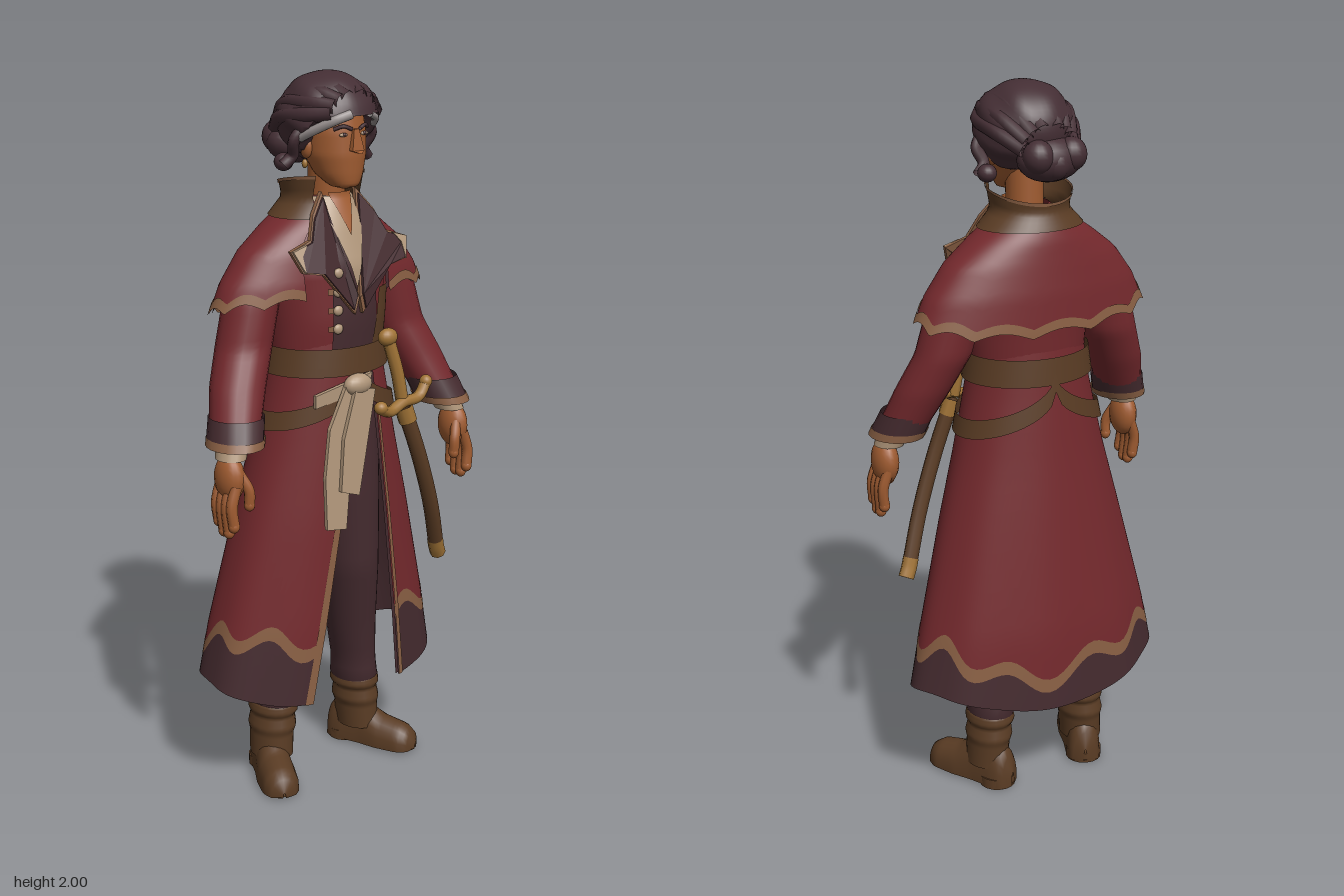
import * as THREE from 'three';

const mat = (name, color) => Object.assign(new THREE.MeshStandardMaterial({ color, side: THREE.DoubleSide }), { name });

export function createModel() {
  const red = mat('coat red', 0x74292d), trim = mat('tan trim', 0x8a6044), plum = mat('plum cloth', 0x452b2f);
  const leather = mat('brown leather', 0x5a3c24), skin = mat('skin', 0xa05c31), hair = mat('dark hair', 0x442e34);
  const cream = mat('cream linen', 0xb0967a), gold = mat('brass', 0xa07336), grey = mat('grey hair', 0x978f8e);

  const model = new THREE.Group();
  const body = new THREE.Group(); // modelled facing +z, turned at the end
  body.name = 'figure';
  const add = (name, geo, material) => {
    const m = new THREE.Mesh(geo, material);
    m.name = name;
    body.add(m);
    return m;
  };

  // Grid surface from a point rule p(s, t); wrap joins the s ends
  function grid(p, ns, nt, wrap = false) {
    const pos = [], idx = [], n = wrap ? ns : ns + 1;
    for (let j = 0; j <= nt; j++) for (let i = 0; i < n; i++) pos.push(...p(i / ns, j / nt));
    for (let j = 0; j < nt; j++) for (let i = 0; i < ns; i++) {
      const a = j * n + i, b = j * n + (i + 1) % n, c = a + n, d = b + n;
      idx.push(a, c, b, b, c, d);
    }
    const g = new THREE.BufferGeometry();
    g.setAttribute('position', new THREE.Float32BufferAttribute(pos, 3));
    g.setIndex(idx);
    g.computeVertexNormals();
    return g;
  }
  // Linear lookup in rows [key, ...values], keys falling
  function at(rows, k) {
    let i = 0;
    while (i < rows.length - 2 && k < rows[i + 1][0]) i++;
    const A = rows[i], B = rows[i + 1], t = THREE.MathUtils.clamp((A[0] - k) / (A[0] - B[0]), 0, 1);
    return A.map((v, n) => v + (B[n] - v) * t);
  }
  // Elliptical garment shell, rows [y, halfWidth, halfDepth, zCentre], open in front from uL to uR
  const shellPoint = (rows, uL, uR, off = 0, fold = 0) => (s, y) => {
    const [, a, b, c] = at(rows, y);
    const t0 = Math.asin(THREE.MathUtils.clamp(uR(y) / a, -1, 1));
    const t1 = Math.PI * 2 + Math.asin(THREE.MathUtils.clamp(uL(y) / a, -1, 1));
    const th = t0 + (t1 - t0) * s, r = 1 + fold * Math.sin(th * 9) * Math.max(0, 1.2 - y);
    return [(a * r + off) * Math.sin(th), y, c + (b * r + off) * Math.cos(th)];
  };
  const band = (name, m, pt, top, bot, s0 = 0, s1 = 1, ns = 96, nt = 16) =>
    add(name, grid((s, t) => {
      const q = s0 + (s1 - s0) * s, a = top(q), b = bot(q);
      return pt(q, a + (b - a) * t);
    }, ns, nt), m);
  // Closed loft of level ellipses, rows [y, rx, rz, cz, cx]
  const loft = (name, m, rows, side = 1, ns = 20) => add(name, grid((s, t) => {
    const y = rows[0][0] + (rows[rows.length - 1][0] - rows[0][0]) * t;
    const [, rx, rz, cz = 0, cx = 0] = at(rows, y);
    return [side * cx + rx * Math.sin(s * 2 * Math.PI), y, cz + rz * Math.cos(s * 2 * Math.PI)];
  }, ns, 28, true), m);
  const ball = (name, m, p, r) => {
    const b = add(name, new THREE.SphereGeometry(1, 18, 12), m);
    b.position.set(...p);
    b.scale.set(...r);
    return b;
  };
  const tube = (name, m, pts, r) => add(name, new THREE.TubeGeometry(
    new THREE.CatmullRomCurve3(pts.map(p => new THREE.Vector3(...p))), 16, r, 8), m);
  // Thin cloth piece cut from an outline and laid on z = rule(x, y)
  function cloth(name, m, pts, rule, grow = 1, thick = 0.012) {
    const cx = pts.reduce((s, p) => s + p[0], 0) / pts.length, cy = pts.reduce((s, p) => s + p[1], 0) / pts.length;
    const shape = new THREE.Shape(pts.map(p => new THREE.Vector2(cx + (p[0] - cx) * grow, cy + (p[1] - cy) * grow)));
    const g = new THREE.ExtrudeGeometry(shape, { depth: thick, bevelEnabled: false }), a = g.attributes.position;
    for (let i = 0; i < a.count; i++) a.setZ(i, a.getZ(i) + rule(a.getX(i), a.getY(i)));
    g.computeVertexNormals();
    return add(name, g, m);
  }
  const k = v => () => v;

  // Coat skirt with lining, wavy hem border and trimmed front edges
  const skirt = [[1.3, .162, .135, .01], [1.2, .177, .143, .01], [1, .222, .16, .005], [.8, .275, .178, -.003], [.5, .35, .202, -.018], [.29, .395, .207, -.023]];
  const open = y => (1.15 - y) / .85;
  const uL = y => Math.min(0, -.155 * open(y)), uR = y => .07 + .08 * open(y);
  const coat = off => shellPoint(skirt, uL, uR, off, .012);
  const hem = s => .285 + .065 * Math.sin(s * 2 * Math.PI) ** 2;
  const wave = s => hem(s) + .095 + .028 * Math.sin(s * 50) + .015 * Math.sin(s * 23 + 1) + .08 * Math.abs(Math.cos(s * Math.PI)) ** 6;
  band('coat skirt', red, coat(0), k(1.3), s => wave(s) + .03);
  band('hem trim', trim, coat(.001), s => wave(s) + .034, s => wave(s) - .005, 0, 1, 96, 2);
  band('hem border', plum, coat(0), wave, hem, 0, 1, 96, 5);
  band('coat lining', plum, coat(-.008), k(1.28), hem);
  for (const [a, b] of [[0, .009], [.988, 1]]) band('front edge trim', trim, coat(.004), k(1.15), hem, a, b, 2, 20);

  // Bodice, waistcoat, side panel and shirt
  const torso = [[1.68, .06, .06, .01], [1.6, .15, .11, -.005], [1.5, .19, .14, 0], [1.35, .172, .138, .01], [1.2, .16, .128, .01]];
  band('bodice', red, shellPoint(torso, k(0), k(0)), k(1.68), k(1.2), 0, 1, 48);
  const panel = (name, m, y0, y1, l, r, off) => add(name, grid((s, t) => {
    const y = y0 + (y1 - y0) * t, x = l(y) + (r(y) - l(y)) * s, [, a, b, c] = at(torso, y);
    return [x, y, c + (b + off) * Math.sqrt(Math.max(0, 1 - (x / (a + off)) ** 2))];
  }, 10, 12), m);
  panel('waistcoat', plum, 1.62, 1.22, k(-.07), k(.08), .006);
  panel('side panel', leather, 1.43, 1.22, y => .05 + (y - 1.22) * .2, k(.16), .009);
  panel('shirt front', cream, 1.68, 1.45, y => -.002 - (y - 1.45) * .3, y => .002 + (y - 1.45) * .3, .013);
  panel('open neck', skin, 1.69, 1.58, y => (1.58 - y) * .35, y => (y - 1.58) * .35, .017);
  for (let i = 0; i < 4; i++) {
    const y = 1.34 + i * .05;
    panel('button loop', trim, y + .008, y - .008, k(-.085), k(-.05), .01);
    ball('button', cream, [-.06, y, .15], [.015, .014, .009]);
  }

  // Belts: a broad waist belt and a hip belt slung low at both sides
  const waist = shellPoint(skirt, k(0), k(0), .012);
  band('waist belt', leather, waist, k(1.285), k(1.21), 0, 1, 48, 3);
  const slack = s => 1.215 - .13 * Math.sqrt(Math.abs(Math.sin(s * 2 * Math.PI)));
  band('hip belt', leather, shellPoint(skirt, k(0), k(0), .012), s => slack(s) + .027, s => slack(s) - .025, 0, 1, 80, 3);

  // Shoulder cape with scalloped trim
  const capeRows = [[1.66, .09, .085, -.01], [1.64, .12, .1, -.01], [1.6, .18, .115, -.01], [1.54, .257, .125, -.01], [1.46, .316, .137, -.01], [1.36, .36, .145, -.01]];
  const gap = y => Math.max(.06, .14 - Math.max(0, y - 1.55) * .7);
  const cape = off => shellPoint(capeRows, y => -gap(y), gap, off);
  const capeHem = s => 1.384 + .03 * Math.cos(s * 2 * Math.PI) + .02 * Math.abs(Math.sin(s * 34));
  band('shoulder cape', red, cape(0), k(1.66), capeHem, 0, 1, 132);
  band('cape trim', trim, cape(.003), s => capeHem(s) + .022, s => capeHem(s) - .004, 0, 1, 132, 2);
  band('cape lining', plum, cape(-.008), k(1.64), capeHem, 0, 1, 132, 8);

  // Standing collar and pointed lapels
  const collar = off => shellPoint([[1.74, .115, .105, -.005], [1.67, .102, .095, -.005], [1.62, .15, .115, -.008]], k(-.075), k(.075), off);
  const dip = s => 1.715 + .02 * Math.cos(s * 2 * Math.PI);
  band('collar', leather, collar(.005), dip, k(1.625), 0, 1, 32, 6);
  band('collar trim', trim, collar(.008), s => dip(s) + .003, s => dip(s) - .006, 0, 1, 32, 1);
  for (const s of [-1, 1]) {
    const pts = [[.06, 1.68], [.1, 1.63], [.125, 1.575], [.185, 1.555], [.165, 1.505], [.11, 1.495], [.02, 1.39], [.01, 1.43]].map(([x, y]) => [x * s, y]);
    const lie = d => (x, y) => .158 - Math.max(0, y - 1.5) * .45 - Math.abs(x) * .1 + d;
    cloth('lapel trim', trim, pts, lie(-.004), 1.1);
    cloth('lapel', plum, pts, lie(.002));
    cloth('lapel point', cream, [[.145, 1.571], [.19, 1.558], [.168, 1.502], [.166, 1.545]].map(([x, y]) => [x * s, y]), lie(.004));
  }

  for (const s of [-1, 1]) {
    // Sleeve, cuff and hand
    loft('sleeve', red, [[1.56, .02, .02, -.01, .17], [1.52, .06, .07, -.01, .19], [1.42, .076, .076, -.005, .23], [1.3, .078, .074, .003, .262], [1.2, .076, .074, .036, .307], [1.09, .066, .07, .08, .35]], s);
    loft('cuff', plum, [[1.135, .074, .077, .07, .336], [1.065, .073, .082, .095, .36], [1.058, .045, .05, .095, .363]], s);
    loft('cuff trim', trim, [[1.085, .076, .084, .089, .352], [1.064, .075, .085, .096, .36]], s);
    loft('shirt cuff', cream, [[1.08, .042, .046, .093, .365], [1.035, .04, .045, .105, .38]], s);
    ball('palm', skin, [s * .39, .985, .112], [.036, .065, .05]);
    for (let i = 0; i < 4; i++) {
      const z = .08 + i * .023, low = .865 - (i === 1 || i === 2 ? .022 : 0);
      tube('finger', skin, [[s * .395, .97, z], [s * .412, .915, z + .003], [s * .408, low, z + .006]], .0155);
      ball('fingertip', skin, [s * .408, low, z + .006], [.0155, .018, .0155]);
    }
    tube('thumb', skin, [[s * .378, 1, .14], [s * .36, .955, .156], [s * .358, .915, .155]], .015);
    ball('thumb tip', skin, [s * .358, .915, .155], [.015, .018, .015]);

    // Trouser leg and boot
    loft('trouser leg', plum, [[1.15, .085, .1, 0, .08], [.85, .09, .1, 0, .09], [.6, .08, .088, .005, .1], [.4, .07, .078, -.02, .125], [.28, .062, .072, -.03, .142], [.22, .066, .078, -.034, .148], [.19, .055, .065, -.034, .15]], s);
    loft('boot shaft', leather, [[.235, .05, .06, -.034, .15], [.225, .064, .076, -.034, .15], [.2, .069, .08, -.034, .15], [.185, .059, .071, -.034, .152], [.15, .065, .078, -.034, .154], [.13, .059, .072, -.034, .156], [.06, .058, .07, -.03, .16]], s);
    const toeRows = [[.19, .004, .015], [.18, .035, .05], [.15, .053, .07], [.08, .056, .085], [.02, .05, .12], [-.05, .05, .13], [-.085, .043, .1], [-.1, .005, .04]];
    const foot = grid((q, t) => {
      const z = .19 - .29 * t, [, hw, top] = at(toeRows, z), a = q * Math.PI * 2;
      return [hw * Math.cos(a), Math.sin(a) < 0 ? 0.004 : top * Math.sin(a) ** .8, z];
    }, 20, 24, true);
    const sole = add('boot foot', foot, leather);
    sole.position.set(s * .165, .006, -.03);
    sole.rotation.y = s * .42;
    const heel = add('boot heel', new THREE.CylinderGeometry(.052, .052, .03, 16), leather);
    heel.position.set(s * .148, .015, -.072);

    // Face details and loose hair at each side
    ball('ear', skin, [s * .085, 1.81, .045], [.014, .03, .02]);
    ball('earring', gold, [s * .092, 1.768, .048], [.008, .012, .008]);
    ball('eye', cream, [s * .034, 1.846, .136], [.013, .005, .006]);
    ball('iris', plum, [s * .033, 1.847, .139], [.006, .005, .005]);
    tube('eyebrow', hair, [[s * .013, 1.86, .145], [s * .035, 1.868, .138], [s * .056, 1.86, .122]], .005);
    tube('loose curl', hair, [[s * .1, 1.87, .06], [s * .128, 1.83, .05], [s * .118, 1.79, .03], [s * .14, 1.765, .02]], .016);
    ball('curl end', hair, [s * .125, 1.77, 0], [.026, .024, .026]);
    // Thick locks swept from the parting back to the bun
    for (let i = 0; i < 4; i++) {
      const a = .3 + i * .36, x = s * Math.sin(a), h = Math.cos(a);
      tube('hair lock', hair, [[x * .07, 1.895 + h * .045, .135], [x * .112, 1.88 + h * .088, .07], [x * .118, 1.865 + h * .1, -.02], [x * .075, 1.83 + h * .06, -.105]], .021);
    }
  }
  // Grey streaks at the temples, heavier on the right
  tube('grey streak', grey, [[-.025, 1.9, .157], [-.065, 1.886, .143], [-.1, 1.86, .1], [-.116, 1.838, .06]], .013);
  tube('grey streak', grey, [[.04, 1.897, .152], [.07, 1.884, .138], [.1, 1.862, .095]], .009);

  // Head and neck
  loft('neck', skin, [[1.78, .05, .055, .025], [1.66, .05, .052, .02], [1.6, .065, .06, .02]]);
  loft('head', skin, [[1.96, .02, .02, .04], [1.92, .07, .085, .045], [1.85, .083, .094, .048], [1.79, .08, .09, .055], [1.74, .062, .07, .072], [1.71, .04, .042, .096], [1.7, .004, .004, .1]], 1, 28);
  cloth('nose', skin, [[-.008, 1.86], [.008, 1.86], [.019, 1.805], [0, 1.798], [-.019, 1.805]], (x, y) => .135 + (1.86 - y) * .28 - Math.abs(x) * .6, 1, .018);
  tube('mouth', trim, [[-.024, 1.766, .132], [0, 1.768, .139], [.024, 1.766, .132]], .003);

  // Swept-back hair cut along a hairline that drops at the temples, and a low bun
  const cap = new THREE.SphereGeometry(1, 48, 32), cp = cap.attributes.position;
  for (let i = 0; i < cp.count; i++) {
    const x = cp.getX(i), y = cp.getY(i), z = cp.getZ(i);
    const r = 1 + .03 * Math.sin(Math.atan2(x, y + .3) * 9 + z * 4) * (1 - z * z) * (1 - Math.max(0, y) ** 4);
    const X = x * .132 * r, Z = .025 + z * .138 * r;
    const line = 1.77 + .125 * THREE.MathUtils.smoothstep(Z - Math.abs(X) * .25, -.01, .1);
    cp.setXYZ(i, X, Math.max(line, 1.88 + y * .12 * r), Z);
  }
  cap.computeVertexNormals();
  add('hair', cap, hair);
  ball('hair bun', hair, [-.015, 1.808, -.085], [.095, .06, .062]);
  for (const x of [-.065, -.015, .035]) ball('bun coil', hair, [x, 1.8 + Math.abs(x + .015) * .4, -.108], [.042, .045, .042]);

  // Knotted sash with hanging tails
  ball('sash knot', cream, [-.01, 1.185, .172], [.045, .03, .026]);
  const hang = (x, y) => .163 + (1.2 - y) * .1;
  cloth('sash loop', cream, [[.03, 1.215], [-.13, 1.165], [-.13, 1.13], [.02, 1.17]], x => .165 + x * .25);
  cloth('long sash tail', cream, [[-.05, 1.19], [.015, 1.17], [-.02, 1.05], [-.06, .92], [-.08, .8], [-.145, .81], [-.14, .95], [-.115, 1.08]], hang);
  cloth('short sash tail', cream, [[-.03, 1.18], [.035, 1.17], [-.01, 1.0], [-.04, .89], [-.1, .91], [-.08, 1.05]], (x, y) => hang(x, y) + .014);

  // Sabre in its scabbard
  tube('scabbard', leather, [[.14, 1.1, .185], [.195, .95, .19], [.255, .79, .175], [.312, .635, .14]], .022);
  tube('scabbard tip', gold, [[.302, .662, .146], [.312, .635, .14], [.325, .61, .133]], .023);
  tube('scabbard throat', gold, [[.14, 1.1, .185], [.155, 1.055, .188]], .026);
  tube('sword grip', gold, [[.135, 1.11, .187], [.118, 1.2, .183], [.095, 1.285, .175]], .018);
  ball('pommel', gold, [.09, 1.3, .175], [.03, .025, .022]);
  tube('crossguard', gold, [[.04, 1.115, .21], [.075, 1.1, .205], [.13, 1.115, .195], [.19, 1.12, .19], [.22, 1.155, .185]], .016);
  ball('guard end', gold, [.04, 1.118, .21], [.02, .018, .018]);
  ball('guard end', gold, [.22, 1.157, .185], [.018, .018, .018]);

  body.rotation.y = Math.PI / 2;
  model.add(body);
  return model;
}
